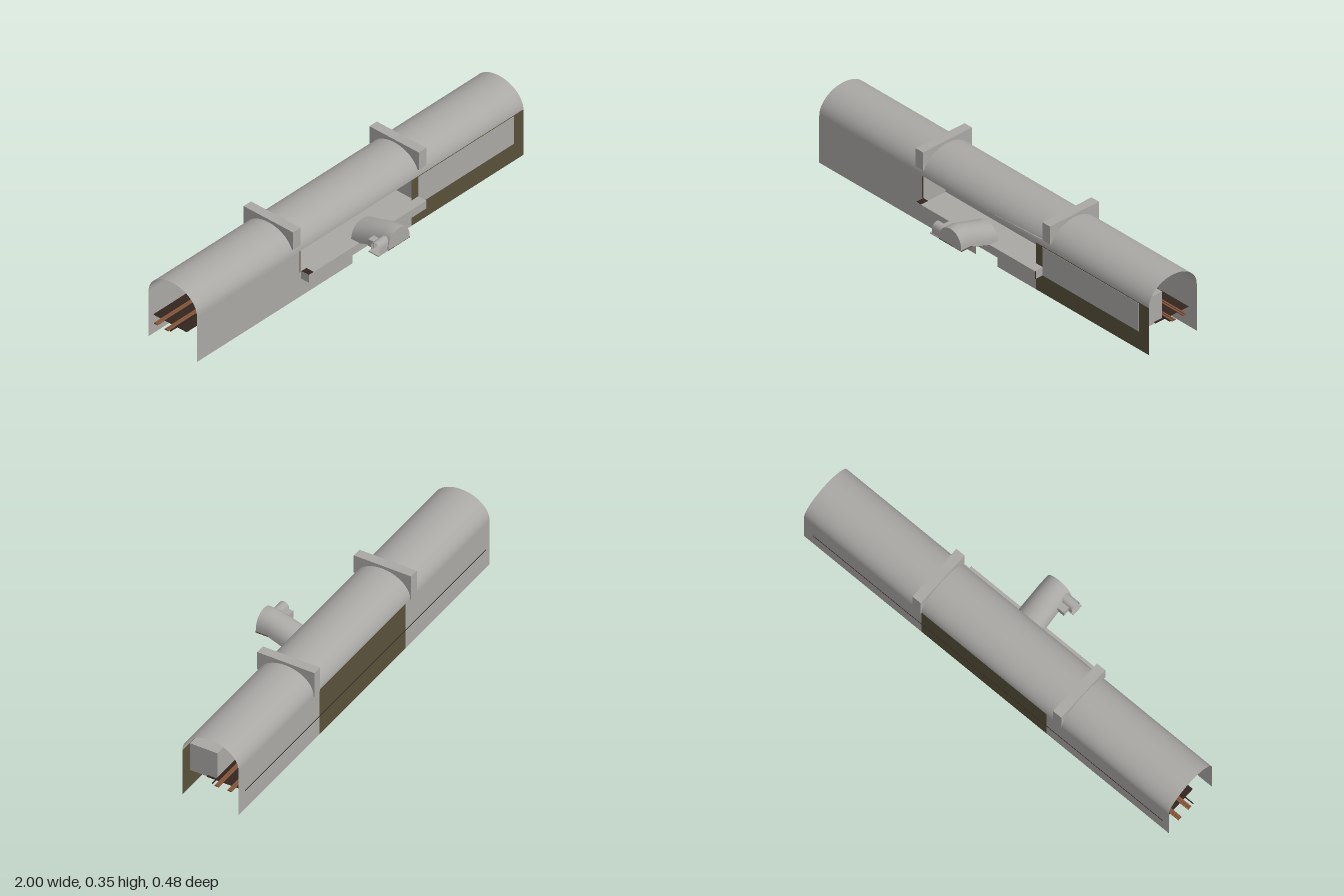
import * as THREE from 'three';

const mat = (name, color, side = THREE.FrontSide) => {
  const m = new THREE.MeshStandardMaterial({ color, side });
  m.name = name;
  return m;
};

export function createModel() {
  const concrete = mat('concrete', 0xaaa8a5, THREE.DoubleSide);
  const olive = mat('olive', 0x57503a, THREE.DoubleSide);
  const dark = mat('dark brown', 0x33241f);
  const rust = mat('rust', 0x85563a);
  const root = new THREE.Group();
  root.name = 'tunnelStation';

  const add = (name, geo, material) => {
    const m = new THREE.Mesh(geo, material);
    m.name = name;
    root.add(m);
    return m;
  };
  // Box given by its low and high corners
  const box = (name, material, x0, x1, y0, y1, z0, z1) => {
    const g = new THREE.BoxGeometry(x1 - x0, y1 - y0, z1 - z0);
    g.translate((x0 + x1) / 2, (y0 + y1) / 2, (z0 + z1) / 2);
    return add(name, g, material);
  };
  // Upright sheet along x
  const wall = (name, material, x0, x1, y0, y1, z, back) => {
    const g = new THREE.PlaneGeometry(x1 - x0, y1 - y0);
    if (back) g.rotateY(Math.PI);
    g.translate((x0 + x1) / 2, (y0 + y1) / 2, z);
    return add(name, g, material);
  };
  // Surface through rows of points
  const loft = (name, material, rows) => {
    const n = rows[0].length, idx = [];
    for (let r = 0; r < rows.length - 1; r++)
      for (let i = 0; i < n - 1; i++) {
        const a = r * n + i, b = a + n;
        idx.push(a, b, a + 1, a + 1, b, b + 1);
      }
    const g = new THREE.BufferGeometry();
    g.setAttribute('position', new THREE.Float32BufferAttribute(rows.flat(2), 3));
    g.setIndex(idx);
    g.computeVertexNormals();
    return add(name, g, material);
  };

  // Tunnel shell: vault and thin side walls
  const X0 = -0.985, X1 = 1, ZF = 0.035, ZB = -0.235, SPRING = 0.23;
  const arc = (x) => Array.from({ length: 33 }, (_, i) => {
    const a = (i / 32) * Math.PI;
    return [x, SPRING + 0.105 * Math.sin(a), -0.1 + 0.135 * Math.cos(a)];
  });
  loft('vault', concrete, [arc(X0), arc(X1)]);
  wall('frontWallWest', concrete, X0, -0.36, 0, SPRING, ZF);
  wall('frontWallSill', concrete, -0.36, -0.04, 0, 0.09, ZF);
  wall('frontWallSill', concrete, 0.09, 0.32, 0, 0.09, ZF);
  wall('frontWallEast', olive, 0.32, X1, 0, SPRING, ZF);
  wall('backWallWest', concrete, X0, -0.32, 0, SPRING, ZB, true);
  wall('backWallMiddle', olive, -0.32, 0.36, 0, SPRING, ZB, true);
  wall('backWallEast', concrete, 0.36, X1, 0, SPRING, ZB, true);

  // Ribs straddling the vault
  const ribShape = new THREE.Shape();
  [[-0.037, 0.26], [-0.037, 0.349], [0.239, 0.349], [0.239, 0.226], [0.222, 0.226], [0.197, 0.26]]
    .forEach(([u, v], i) => (i ? ribShape.lineTo(u, v) : ribShape.moveTo(u, v)));
  for (const x of [-0.403, 0.362]) {
    const g = new THREE.ExtrudeGeometry(ribShape, { depth: 0.045, bevelEnabled: false });
    g.rotateY(Math.PI / 2).translate(x, 0, 0);
    add('rib', g, concrete);
  }

  // Platform hall: closed east part and open middle part
  box('eastHall', concrete, 0.36, 0.94, 0.088, 0.226, -0.096, 0.0365);
  box('platformFloor', concrete, -0.36, 0.36, 0.088, 0.1, -0.096, 0.034);
  box('hallBackWall', concrete, -0.36, 0.36, 0.1, 0.226, -0.096, -0.09);
  box('hallEndWall', concrete, -0.362, -0.357, 0.1, 0.226, -0.09, 0.036);
  box('hallEndTrim', olive, -0.363, -0.357, 0.125, 0.23, 0.034, 0.037);
  loft('hallSoffit', concrete, [
    [[-0.36, 0.226, 0.034], [-0.36, 0.226, -0.097]],
    [[0.36, 0.26, 0.034], [0.36, 0.26, -0.113]],
  ]);

  // Ledge in front of the hall
  box('ledge', concrete, -0.352, 0.362, 0.088, 0.128, 0.034, 0.075);
  box('ledgeFront', concrete, -0.352, 0.362, 0.088, 0.128, 0.075, 0.08);
  box('ledgeStep', dark, -0.352, -0.325, 0.128, 0.13, 0.04, 0.079);
  box('ledgeEnd', dark, 0.362, 0.364, 0.09, 0.126, 0.075, 0.08);

  // Arched stair passage rising away from the hall
  const CX = 0.022;
  const section = ([z, floor, top, r]) => Array.from({ length: 25 }, (_, i) => {
    const a = (i / 24) * Math.PI;
    return [CX - r * Math.cos(a), floor + (top - floor) * Math.sin(a) ** 0.8, z];
  });
  const stations = [[0.035, 0.115, 0.196, 0.07], [0.08, 0.127, 0.21, 0.068],
    [0.19, 0.165, 0.245, 0.065], [0.238, 0.165, 0.245, 0.065]];
  loft('stairRoof', concrete, stations.map(section).reverse());
  const cap = new THREE.Shape(section(stations[3]).map(([x, y]) => new THREE.Vector2(x, y)));
  add('stairEnd', new THREE.ShapeGeometry(cap).translate(0, 0, 0.238), concrete);
  box('landing', olive, -0.045, 0.09, 0.163, 0.167, 0.18, 0.238);
  for (let i = 0; i < 8; i++) {
    const z = 0.075 + i * 0.0135, y = 0.125 + i * 0.005;
    box('stairStep', olive, -0.04, 0.085, y, y + 0.006, z, z + 0.0145);
  }

  // Side porch at the top of the stairs
  const porch = (x, h) => Array.from({ length: 13 }, (_, i) => {
    const a = (i / 12) * Math.PI;
    return [x, 0.166 + h * Math.sin(a) ** 0.5, 0.21 + 0.025 * Math.cos(a)];
  });
  loft('porchRoof', concrete, [porch(-0.092, 0.05), porch(0, 0.054)]);
  box('porchFloor', concrete, -0.102, -0.03, 0.163, 0.168, 0.183, 0.237);
  box('porchSide', concrete, -0.075, -0.04, 0.166, 0.2, 0.155, 0.187);

  // Track bed and rails
  box('trackBed', dark, -0.955, 0.95, 0.0935, 0.0955, -0.237, -0.05);
  for (const z of [-0.121, -0.182]) {
    box('railBase', rust, -1, 0.985, 0.092, 0.0965, z - 0.01, z + 0.01);
    box('railHead', rust, -1, 0.985, 0.0965, 0.101, z - 0.002, z + 0.002);
  }
  box('powerRail', dark, -1, 0.985, 0.098, 0.103, -0.101, -0.097);

  return root;
}
